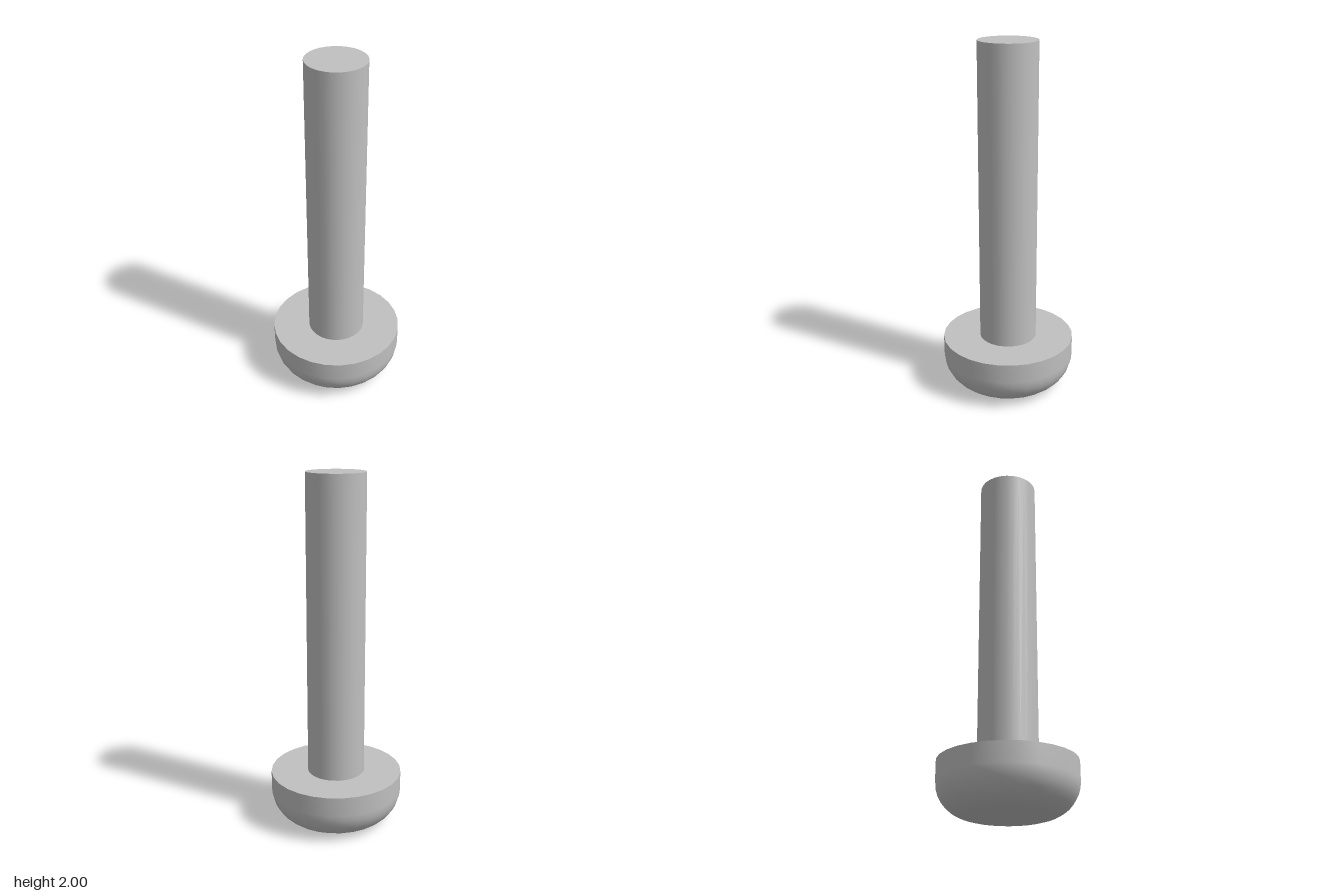
import * as THREE from 'three';

const SIDES = 28;
const HEAD_R = 0.378, HEAD_H = 0.29, FILLET = 0.18;
const SHAFT_R = 0.164, TOP = 2;

export function createModel() {
  const group = new THREE.Group();
  const steel = new THREE.MeshStandardMaterial({ color: 0xc0c0c0 });
  steel.name = 'steel grey';

  const add = (name, geometry, y = 0) => {
    const mesh = new THREE.Mesh(geometry, steel);
    mesh.name = name;
    mesh.position.y = y;
    group.add(mesh);
  };

  // Pan head: flat underside, rounded lower edge, straight wall
  const profile = [new THREE.Vector2(0, 0)];
  const steps = 8;
  for (let i = 0; i <= steps; i++) {
    const a = (i / steps) * Math.PI / 2;
    profile.push(new THREE.Vector2(
      HEAD_R - FILLET + FILLET * Math.sin(a),
      FILLET * (1 - Math.cos(a))
    ));
  }
  profile.push(new THREE.Vector2(HEAD_R, HEAD_H));
  add('head', new THREE.LatheGeometry(profile, SIDES));

  // Flat bearing face of the head around the shaft
  const face = new THREE.RingGeometry(SHAFT_R, HEAD_R, SIDES, 1).rotateX(-Math.PI / 2);
  add('bearingFace', face, HEAD_H);

  // Plain shaft, open where it meets the head
  const length = TOP - HEAD_H;
  const shaft = new THREE.CylinderGeometry(SHAFT_R, SHAFT_R, length, SIDES, 1, true);
  add('shaft', shaft, HEAD_H + length / 2);

  // Flat end of the shaft
  add('shaftEnd', new THREE.CircleGeometry(SHAFT_R, SIDES).rotateX(-Math.PI / 2), TOP);

  return group;
}
